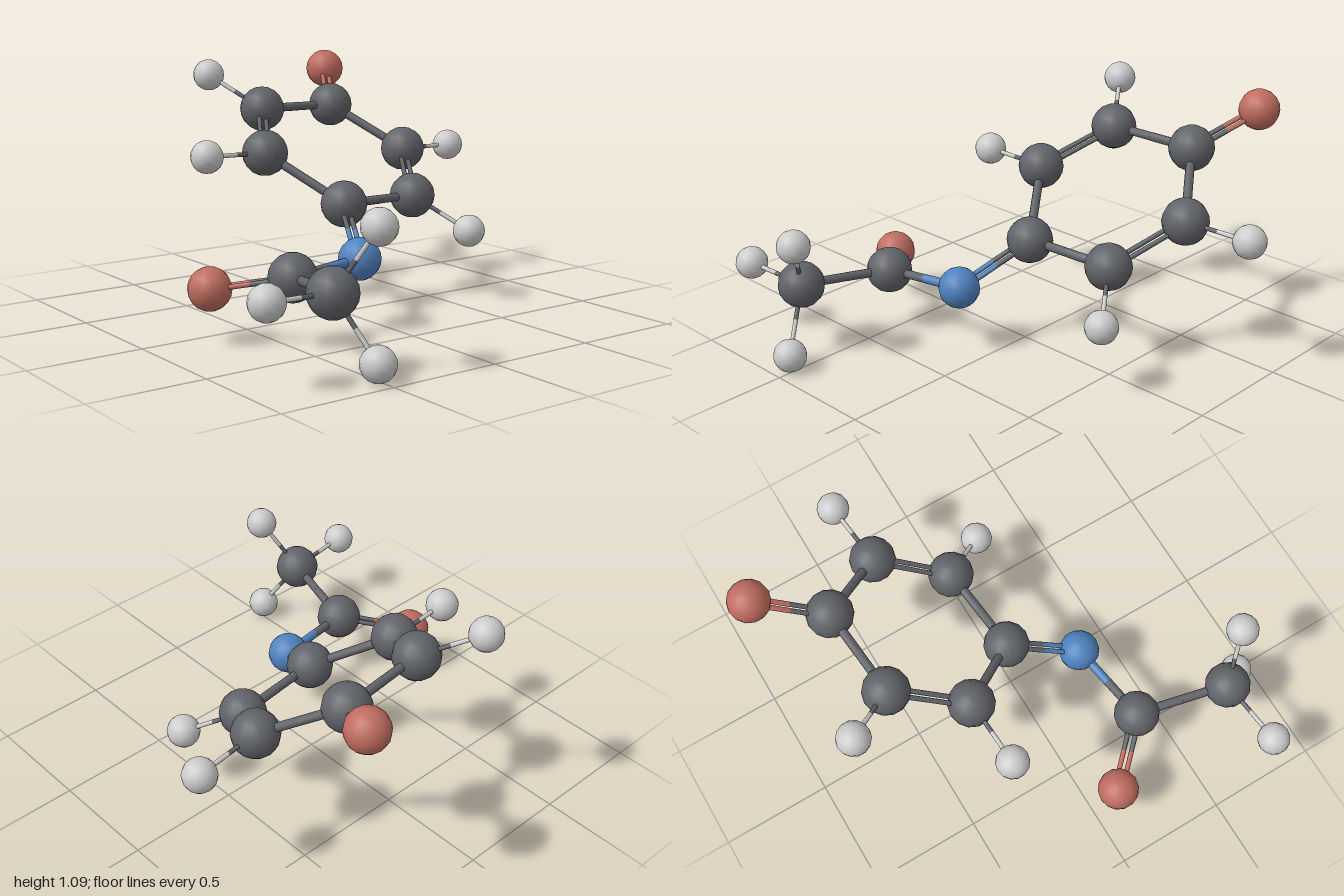
import * as THREE from 'three';

// Atom kinds: radius and colour
const KINDS = {
  carbon: { radius: 0.103, color: 0x606369 },
  oxygen: { radius: 0.092, color: 0xbf6c60 },
  nitrogen: { radius: 0.092, color: 0x4f82bf },
  hydrogen: { radius: 0.073, color: 0xcccccc },
};

// Atom centres: kind, x, y, z
const ATOMS = {
  ringCarbon1: ['carbon', -0.01, 0.49, -0.02],
  ringCarbon2: ['carbon', -0.05, 0.48, -0.44],
  ringCarbon3: ['carbon', -0.34, 0.65, -0.615],
  ringCarbon4: ['carbon', -0.64, 0.85, -0.405],
  ringCarbon5: ['carbon', -0.605, 0.86, 0.015],
  ringCarbon6: ['carbon', -0.31, 0.70, 0.195],
  ringOxygen: ['oxygen', -0.91, 1.0, -0.565],
  ringHydrogen2: ['hydrogen', 0.17, 0.33, -0.595],
  ringHydrogen3: ['hydrogen', -0.37, 0.64, -0.925],
  ringHydrogen5: ['hydrogen', -0.825, 1.01, 0.17],
  ringHydrogen6: ['hydrogen', -0.295, 0.71, 0.505],
  bridgeNitrogen: ['nitrogen', 0.29, 0.315, 0.12],
  tailCarbon: ['carbon', 0.355, 0.30, 0.505],
  tailOxygen: ['oxygen', 0.11, 0.24, 0.745],
  endCarbon: ['carbon', 0.77, 0.335, 0.61],
  endHydrogenTop: ['hydrogen', 0.89, 0.59, 0.485],
  endHydrogenBottom: ['hydrogen', 0.925, 0.08, 0.515],
  endHydrogenFront: ['hydrogen', 0.80, 0.35, 0.925],
};

const SINGLE = [
  ['ringCarbon1', 'ringCarbon2'], ['ringCarbon3', 'ringCarbon4'],
  ['ringCarbon4', 'ringCarbon5'], ['ringCarbon6', 'ringCarbon1'],
  ['bridgeNitrogen', 'tailCarbon'], ['tailCarbon', 'endCarbon'],
];
const THIN = [
  ['ringCarbon2', 'ringHydrogen2'], ['ringCarbon3', 'ringHydrogen3'],
  ['ringCarbon5', 'ringHydrogen5'], ['ringCarbon6', 'ringHydrogen6'],
  ['endCarbon', 'endHydrogenTop'], ['endCarbon', 'endHydrogenBottom'],
  ['endCarbon', 'endHydrogenFront'],
];
// Third atom fixes the plane in which the two strands lie side by side
const DOUBLE = [
  ['ringCarbon2', 'ringCarbon3', 'ringCarbon5'],
  ['ringCarbon5', 'ringCarbon6', 'ringCarbon2'],
  ['ringCarbon4', 'ringOxygen', 'ringCarbon3'],
  ['ringCarbon1', 'bridgeNitrogen', 'ringCarbon2'],
  ['tailCarbon', 'tailOxygen', 'endCarbon'],
];

export function createModel() {
  const model = new THREE.Group();
  model.name = 'molecule';
  const materials = {}, spheres = {};
  for (const [kind, { radius, color }] of Object.entries(KINDS)) {
    materials[kind] = new THREE.MeshStandardMaterial({ color });
    spheres[kind] = new THREE.SphereGeometry(radius, 14, 10);
  }
  const at = (name) => new THREE.Vector3(...ATOMS[name].slice(1));

  // Atoms
  for (const [name, [kind]] of Object.entries(ATOMS)) {
    const atom = new THREE.Mesh(spheres[kind], materials[kind]);
    atom.name = name;
    atom.position.copy(at(name));
    model.add(atom);
  }

  // A rod in two halves, each in the colour of its own atom
  const up = new THREE.Vector3(0, 1, 0);
  function addRod(name, a, b, radius, offset = new THREE.Vector3()) {
    const middle = at(a).lerp(at(b), 0.5);
    for (const end of [a, b]) {
      const span = middle.clone().sub(at(end));
      const half = new THREE.Mesh(
        new THREE.CylinderGeometry(radius, radius, span.length(), 10),
        materials[ATOMS[end][0]]
      );
      half.name = name;
      half.position.copy(at(end)).addScaledVector(span, 0.5).add(offset);
      half.quaternion.setFromUnitVectors(up, span.normalize());
      model.add(half);
    }
  }

  for (const [a, b] of SINGLE) addRod('singleBond', a, b, 0.02);
  for (const [a, b] of THIN) addRod('hydrogenBond', a, b, 0.01);
  for (const [a, b, c] of DOUBLE) {
    const dir = at(b).sub(at(a)).normalize();
    const side = at(c).sub(at(a));
    side.addScaledVector(dir, -side.dot(dir)).normalize();
    for (const s of [-1, 1]) {
      addRod('doubleBond', a, b, 0.011, side.clone().multiplyScalar(s * 0.017));
    }
  }
  return model;
}
